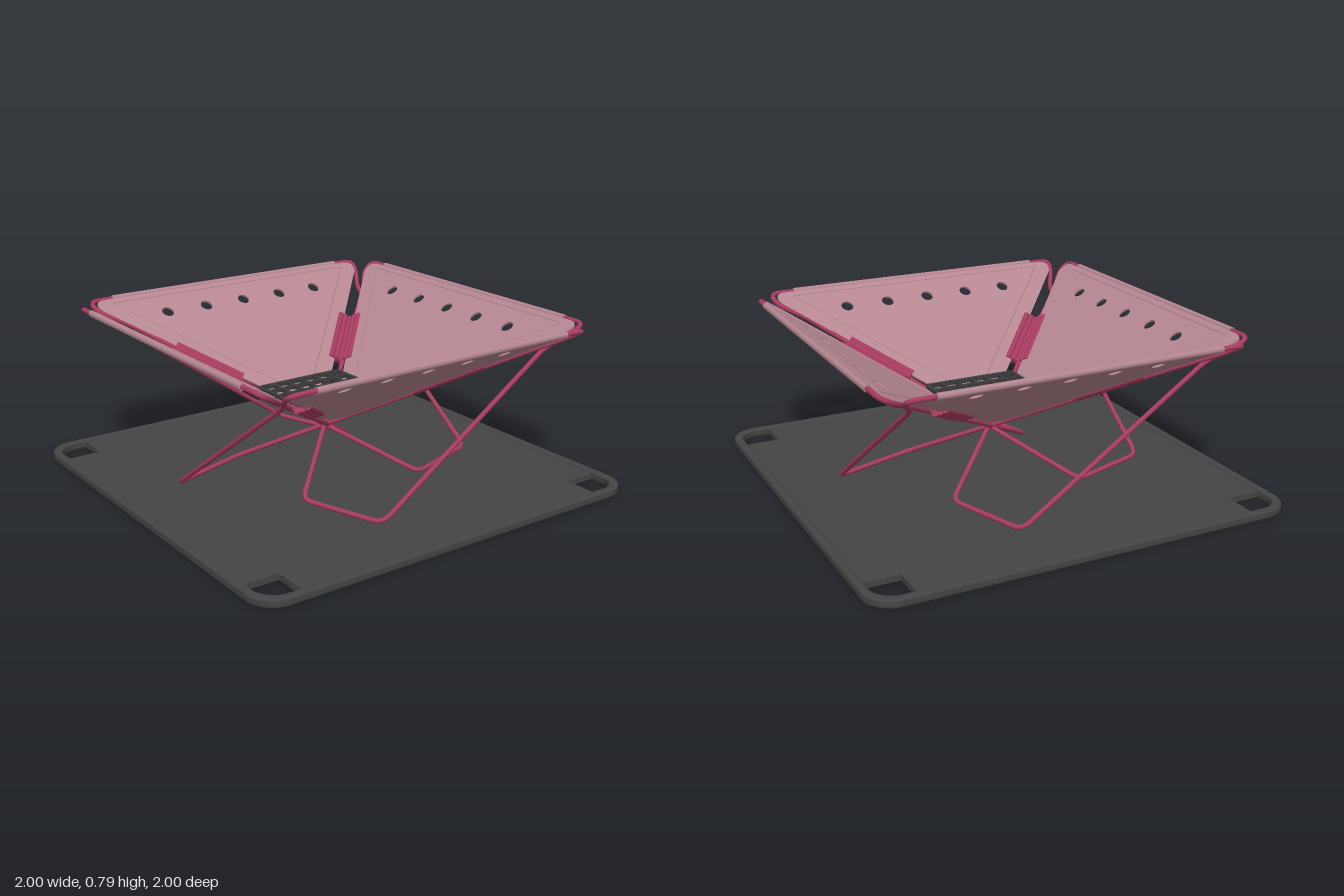
import * as THREE from 'three';

const mat = (color) => new THREE.MeshStandardMaterial({ color, side: THREE.DoubleSide });
const WIRE = mat(0xa83c60), PANEL = mat(0xb58791), DARK = mat(0x444444), GRATE = mat(0x3c3c3c);
const SLOPE = 0.62, BASE_Y = 0.24, ANGLE = Math.atan(SLOPE), COS = Math.cos(ANGLE);
const planeY = (z) => BASE_Y + SLOPE * z;
const V = (x, y, z) => new THREE.Vector3(x, y, z);

function add(parent, name, geometry, material) {
  const mesh = new THREE.Mesh(geometry, material);
  mesh.name = name;
  parent.add(mesh);
  return mesh;
}

// Straight rod between two points
function rod(parent, name, a, b, r, material) {
  const mesh = add(parent, name, new THREE.CylinderGeometry(r, r, a.distanceTo(b), 8), material);
  mesh.position.lerpVectors(a, b, 0.5);
  mesh.quaternion.setFromUnitVectors(V(0, 1, 0), b.clone().sub(a).normalize());
}

function roundedSquare(Type, h, r) {
  const s = new Type();
  s.moveTo(-h + r, -h).lineTo(h - r, -h);
  s.absarc(h - r, -h + r, r, -Math.PI / 2, 0);
  s.absarc(h - r, h - r, r, 0, Math.PI / 2);
  s.absarc(-h + r, h - r, r, Math.PI / 2, Math.PI);
  s.absarc(-h + r, -h + r, r, Math.PI, Math.PI * 1.5);
  return s;
}

// Closed wire with bent corners
function bentLoop(points, radius) {
  const path = new THREE.CurvePath();
  const n = points.length;
  const corners = points.map((p, i) => {
    const toward = (q) => p.clone().add(q.clone().sub(p).setLength(Math.min(radius, p.distanceTo(q) * 0.49)));
    return [toward(points[(i + n - 1) % n]), p, toward(points[(i + 1) % n])];
  });
  corners.forEach((c, i) => {
    path.add(new THREE.QuadraticBezierCurve3(...c));
    path.add(new THREE.LineCurve3(c[2], corners[(i + 1) % n][0]));
  });
  return path;
}

// Sloped triangular sheet with a row of vent holes
function panelGeometry() {
  const pt = (x, z) => [x, z / COS];
  const s = new THREE.Shape();
  s.moveTo(...pt(-0.70, 0.85)).lineTo(...pt(0.70, 0.85));
  s.quadraticCurveTo(...pt(0.78, 0.85), ...pt(0.74, 0.785));
  s.lineTo(...pt(0.06, 0.105));
  s.quadraticCurveTo(...pt(0, 0.08), ...pt(-0.06, 0.105));
  s.lineTo(...pt(-0.74, 0.785));
  s.quadraticCurveTo(...pt(-0.78, 0.85), ...pt(-0.70, 0.85));
  for (let i = -2; i <= 2; i++) {
    s.holes.push(new THREE.Path().absarc(i * 0.215, 0.73 / COS, 0.03, 0, Math.PI * 2, true));
  }
  const g = new THREE.ExtrudeGeometry(s, { depth: 0.01, bevelEnabled: false, curveSegments: 10 });
  g.translate(0, 0, -0.012);
  return g.rotateX(Math.PI / 2 - ANGLE).translate(0, BASE_Y, 0);
}

function createSide() {
  const side = new THREE.Group();
  add(side, 'panel', panelGeometry(), PANEL);

  // Pressed border line of the panel
  const lip = [[-0.68, 0.82], [0.68, 0.82], [0, 0.15]].map(([x, z]) => V(x, planeY(z) + 0.013, z));
  lip.forEach((p, i) => rod(side, 'panelRidge', p, lip[(i + 1) % 3], 0.004, PANEL));

  // Rolled hem around the top wire
  rod(side, 'panelHem', V(-0.66, planeY(0.86), 0.86), V(0.66, planeY(0.86), 0.86), 0.016, PANEL);

  // One wire forms the top bar, a short leg, a foot and a long crossing leg
  const loop = bentLoop([
    V(-0.78, planeY(0.86), 0.86), V(-0.76, planeY(0.79), 0.79), V(-0.70, 0.67, 0.70),
    V(-0.69, 0.045, -0.20), V(-0.29, 0.045, -0.335),
    V(0.66, planeY(0.715), 0.715), V(0.76, planeY(0.79), 0.79), V(0.78, planeY(0.86), 0.86),
  ], 0.05);
  add(side, 'wireFrame', new THREE.TubeGeometry(loop, 260, 0.0115, 8, true), WIRE);

  // Ribbed hinge in the valley between neighbouring panels
  const hinge = new THREE.Group();
  hinge.name = 'cornerHinge';
  for (let i = -2; i <= 2; i++) {
    const d = i * 0.016, lift = 0.44 * Math.abs(i) * 0.022 + 0.008;
    rod(hinge, 'hingeRib', V(0.29 + d, planeY(0.29) + lift, 0.29 - d),
      V(0.515 + d, planeY(0.515) + lift, 0.515 - d), 0.015, WIRE);
  }
  side.add(hinge);
  return side;
}

function createGrate() {
  const grate = new THREE.Group();
  grate.name = 'grate';
  const frame = roundedSquare(THREE.Shape, 0.235, 0.03);
  frame.holes.push(roundedSquare(THREE.Path, 0.217, 0.015));
  const g = new THREE.ExtrudeGeometry(frame, { depth: 0.02, bevelEnabled: false, curveSegments: 6 });
  add(grate, 'grateFrame', g.rotateX(-Math.PI / 2).translate(0, -0.01, 0), GRATE);
  for (let i = -2; i <= 2; i++) {
    add(grate, 'grateBar', new THREE.BoxGeometry(0.014, 0.018, 0.45), GRATE).position.x = i * 0.076;
    add(grate, 'grateBar', new THREE.BoxGeometry(0.45, 0.018, 0.014), GRATE).position.z = i * 0.076;
  }
  add(grate, 'grateCentre', new THREE.BoxGeometry(0.155, 0.019, 0.155), GRATE);
  grate.position.y = 0.405;
  return grate;
}

function createTray() {
  const tray = new THREE.Group();
  tray.name = 'tray';
  const rim = roundedSquare(THREE.Shape, 1, 0.13);
  rim.holes.push(roundedSquare(THREE.Path, 0.96, 0.1));
  const g = new THREE.ExtrudeGeometry(rim, {
    depth: 0.02, bevelThickness: 0.01, bevelSize: 0.01, bevelOffset: -0.01, bevelSegments: 3, curveSegments: 12,
  });
  add(tray, 'trayRim', g.rotateX(-Math.PI / 2).translate(0, 0.01, 0), DARK);

  // Cross-shaped plate leaves the four corners open
  const a = 0.8, b = 0.97;
  const cross = new THREE.Shape([
    [-a, -b], [a, -b], [a, -a], [b, -a], [b, a], [a, a],
    [a, b], [-a, b], [-a, a], [-b, a], [-b, -a], [-a, -a],
  ].map(([x, y]) => new THREE.Vector2(x, y)));
  const plate = new THREE.ExtrudeGeometry(cross, { depth: 0.028, bevelEnabled: false });
  add(tray, 'trayPlate', plate.rotateX(-Math.PI / 2).translate(0, 0.004, 0), DARK);
  return tray;
}

export function createModel() {
  const model = new THREE.Group();
  model.name = 'foldingFirePit';
  model.add(createTray(), createGrate());
  ['front', 'left', 'back', 'right'].forEach((name, i) => {
    const side = createSide();
    side.name = name + 'Side';
    side.rotation.y = i * Math.PI / 2;
    model.add(side);
  });
  return model;
}
